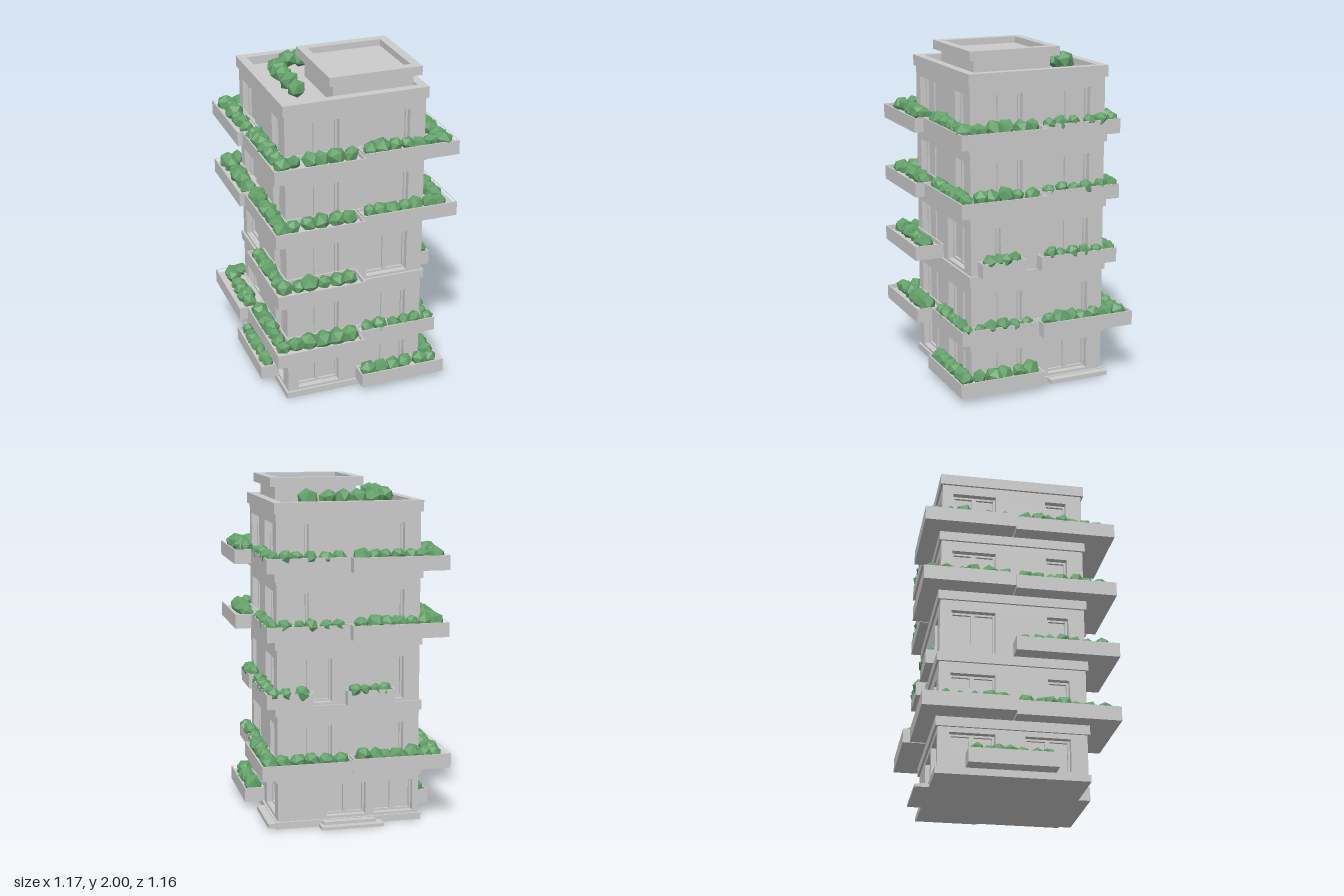
import * as THREE from 'three';

const grey = new THREE.MeshStandardMaterial({ color: 0xcccccc, flatShading: true });
const green = new THREE.MeshStandardMaterial({ color: 0x62a068, flatShading: true });

const HALF = 0.42;            // half width of the walls
const ZC = -0.017;            // tower centre in z
const WALL = 0.05;            // wall thickness
const RAIL = 0.085;           // planter height
const FLOORS = [0.04, 0.33, 0.72, 1.105, 1.49];
const TOPS = [0.33, 0.72, 1.105, 1.49, 1.88];

let seed = 7;
const rnd = () => ((seed = (seed * 16807) % 2147483647) / 2147483647);

function add(parent, name, geo, mat = grey) {
  const m = new THREE.Mesh(geo, mat);
  m.name = name;
  parent.add(m);
  return m;
}

// Box given by its two extreme corners
function block(parent, name, x0, x1, y0, y1, z0, z1) {
  const g = new THREE.BoxGeometry(x1 - x0, y1 - y0, z1 - z0);
  return add(parent, name, g.translate((x0 + x1) / 2, (y0 + y1) / 2, (z0 + z1) / 2));
}

const pts = (list) => list.map(([x, y]) => new THREE.Vector2(x, y));
const rect = (x0, x1, y0, y1, t = 0) =>
  pts([[x0 + t, y0 + t], [x1 - t, y0 + t], [x1 - t, y1 - t], [x0 + t, y1 - t]]);

function extrude(outline, holes, depth) {
  const s = new THREE.Shape(outline);
  s.holes = holes.map((h) => new THREE.Path(h));
  return new THREE.ExtrudeGeometry(s, { depth, bevelEnabled: false });
}

// Plan outline (x, z) raised from y0 to y1
const plan = (outline, holes, y0, y1) =>
  extrude(outline, holes, y1 - y0).rotateX(Math.PI / 2).translate(0, y1, 0);

function bush(parent, x, y, z, r) {
  const m = add(parent, 'bush', new THREE.IcosahedronGeometry(r, 0), green);
  m.position.set(x, y, z);
  m.rotation.set(rnd() * 6, rnd() * 6, rnd() * 6);
  m.scale.set(0.95 + rnd() * 0.3, 0.9 + rnd() * 0.25, 0.95 + rnd() * 0.3);
}

// Bushes along a straight line in plan
function bushRow(parent, [xa, za], [xb, zb], y, r, gap = 0.078) {
  const n = Math.max(1, Math.round(Math.hypot(xb - xa, zb - za) / gap));
  for (let i = 0; i <= n; i++) {
    const k = Math.min(1, Math.max(0, (i + (rnd() - 0.5) * 0.3) / n));
    bush(parent, xa + (xb - xa) * k, y + (rnd() - 0.5) * 0.014, za + (zb - za) * k, r * (0.82 + rnd() * 0.3));
  }
}

// Tray with a thin rim, open at the top
function tray(parent, outlineAt, y) {
  add(parent, 'planterTray', plan(outlineAt(0), [], y, y + 0.06));
  add(parent, 'planterRim', plan(outlineAt(0), [outlineAt(0.009)], y + 0.06, y + RAIL));
}

// L-shaped planter wrapping the tower corner nearest to (X, Z)
function cornerPlanter(parent, floor, X, Z, ax, az) {
  const g = new THREE.Group();
  g.name = 'cornerPlanter';
  parent.add(g);
  const sx = Math.sign(X), sz = Math.sign(Z), y = FLOORS[floor];
  const bx = sx * HALF, bz = ZC + sz * HALF;
  tray(g, (t) => {
    const u = sx * t, v = sz * t;
    return pts([[ax + u, Z - v], [X - u, Z - v], [X - u, az + v], [bx + u, az + v], [bx + u, bz + v], [ax + u, bz + v]]);
  }, y);
  const mx = (X + bx) / 2, mz = (Z + bz) / 2;
  const r = Math.min(0.05, Math.max(0.04, Math.abs(X - bx) * 0.45));
  bushRow(g, [ax + sx * 0.06, mz], [mx, mz], y + RAIL, r);
  bushRow(g, [mx, mz - sz * 0.08], [mx, az + sz * 0.06], y + RAIL, r);
}

// Straight planter on one wall
function straightPlanter(parent, floor, x0, x1, z0, z1) {
  const g = new THREE.Group();
  g.name = 'straightPlanter';
  parent.add(g);
  const y = FLOORS[floor], mx = (x0 + x1) / 2, mz = (z0 + z1) / 2;
  tray(g, (t) => rect(x0, x1, z0, z1, t), y);
  if (x1 - x0 > z1 - z0) bushRow(g, [x0 + 0.05, mz], [x1 - 0.05, mz], y + RAIL, 0.038, 0.065);
  else bushRow(g, [mx, z0 + 0.05], [mx, z1 - 0.05], y + RAIL, 0.04, 0.065);
}

// Window slots on a wall, w = wide, n = narrow
const LEFT = { w: [-0.355, -0.1], n: [-0.355, -0.235] };
const RIGHT = { w: [0.07, 0.325], n: [0.2, 0.325] };
const SIDES = [
  { name: 'frontWall', turn: 0, slots: ['ww', 'ww', 'ww', 'wn', 'wn'] },
  { name: 'leftWall', turn: Math.PI / 2, slots: ['ww', 'wn', 'nw', 'ww', 'ww'] },
  { name: 'backWall', turn: Math.PI, slots: ['door', 'wn', 'wn', 'nn', 'nn'] },
  { name: 'rightWall', turn: -Math.PI / 2, slots: ['ww', 'wn', 'wn', 'wn', 'wn'] },
];

function wall(parent, side, i) {
  const g = new THREE.Group();
  g.name = side.name;
  g.rotation.y = side.turn;
  parent.add(g);
  const code = side.slots[i], y0 = FLOORS[i], y1 = TOPS[i] - 0.055;
  const sill = y0 + 0.015, head = i === 0 ? 0.245 : y0 + 0.268;
  const openings = code === 'door' ? [[-0.13, 0.1], [0.15, 0.385]] : [LEFT[code[0]], RIGHT[code[1]]];
  const w = side.turn % Math.PI === 0 ? HALF : HALF - WALL;
  const holes = openings.map(([a, b]) => rect(a, b, sill, head));
  add(g, 'wallPanel', extrude(rect(-w, w, y0, y1), holes, WALL).translate(0, 0, HALF - WALL));
  // Frames with one or two panes
  for (const [a, b] of openings) {
    const panes = b - a > 0.2 ? 2 : 1, step = (b - a) / panes;
    const glass = [];
    for (let p = 0; p < panes; p++) glass.push(rect(a + p * step, a + (p + 1) * step, sill, head, 0.012));
    add(g, 'windowFrame', extrude(rect(a, b, sill, head), glass, 0.015).translate(0, 0, HALF - WALL));
  }
}

export function createModel() {
  const model = new THREE.Group();
  model.name = 'plantedTower';

  // Storeys with walls, inner core and cornice bands
  const tower = new THREE.Group();
  tower.name = 'tower';
  tower.position.z = ZC;
  model.add(tower);
  const c = HALF - WALL, k = 0.433;
  block(tower, 'plinth', -k, k, 0, FLOORS[0], -k, k);
  block(tower, 'core', -c, c, 0.02, 1.82, -c, c);
  FLOORS.forEach((_, i) => {
    SIDES.forEach((side) => wall(tower, side, i));
    if (i < 4) block(tower, 'cornice', -k, k, TOPS[i] - 0.055, TOPS[i], -k, k);
  });

  // Roof deck, parapet and rooftop room
  block(tower, 'roofDeck', -k, k, 1.815, 1.83, -k, k);
  add(tower, 'parapet', plan(rect(-k, k, -k, k), [rect(-k, k, -k, k, 0.052)], 1.83, 1.88));
  block(model, 'roofRoom', -0.12, 0.36, 1.82, 1.955, -0.115, 0.355);
  block(model, 'roofRoomSlab', -0.155, 0.397, 1.947, 1.962, -0.158, 0.394);
  add(model, 'roofRoomParapet',
    plan(rect(-0.155, 0.397, -0.158, 0.394), [rect(-0.155, 0.397, -0.158, 0.394, 0.052)], 1.962, 2.0));

  // Roof garden
  const garden = new THREE.Group();
  garden.name = 'roofGarden';
  model.add(garden);
  for (const x of [-0.17, -0.09, 0, 0.09, 0.205]) bush(garden, x, 1.885, -0.28, 0.055);
  for (const z of [-0.16, -0.1, -0.03, 0.08, 0.205]) bush(garden, -0.28, 1.89, z, 0.054);

  // Entrance steps and side slab
  block(model, 'lowerStep', -0.19, 0.18, 0, 0.018, -0.53, -0.42);
  block(model, 'upperStep', -0.15, 0.16, 0, 0.036, -0.49, -0.42);
  block(model, 'sideSlab', 0.4, 0.48, 0.01, 0.036, -0.45, -0.08);

  // Corner planters: floor, outer x, outer z, start x, start z
  const corners = [
    [0, 0.54, 0.515, 0.01, -0.01],
    [1, 0.485, 0.485, 0.003, 0.003], [1, -0.535, 0.575, -0.003, -0.015],
    [1, -0.585, -0.545, -0.003, -0.021], [1, 0.535, -0.585, 0.008, -0.003],
    [2, -0.53, 0.58, 0, -0.015], [2, 0.49, -0.495, 0.22, -0.01],
  ];
  for (const f of [3, 4]) corners.push(
    [f, 0.583, 0.52, 0.006, 0], [f, -0.535, 0.573, -0.003, -0.014],
    [f, -0.562, -0.55, 0.002, -0.02], [f, 0.487, -0.505, 0.008, -0.006]);
  corners.forEach((p) => cornerPlanter(model, ...p));

  // Small planters on single walls
  straightPlanter(model, 0, -0.53, -HALF, -0.28, 0.22);
  straightPlanter(model, 2, HALF, 0.49, 0.09, 0.36);
  straightPlanter(model, 2, -0.26, 0.02, -0.495, ZC - HALF);
  return model;
}
